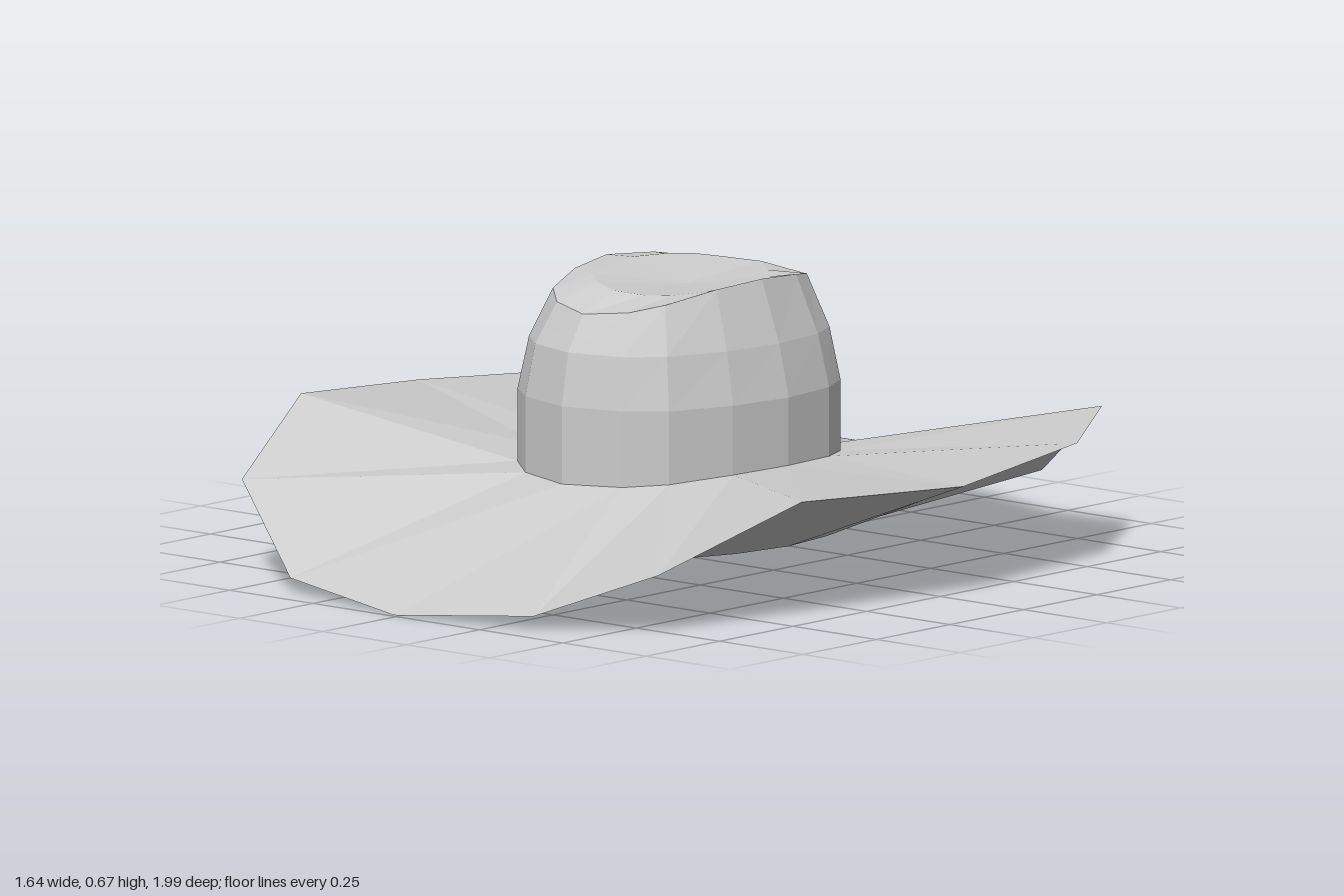
import * as THREE from 'three';

// Plan of the crown base and outer edge of the brim, from the front towards +x and round
const BASE = [
  [-0.015, 0.42], [0.13, 0.38], [0.21, 0.31], [0.27, 0.16], [0.295, 0], [0.275, -0.16], [0.23, -0.25], [0.13, -0.34],
  [-0.015, -0.445], [-0.16, -0.34], [-0.25, -0.27], [-0.3, -0.16], [-0.335, 0], [-0.3, 0.165], [-0.245, 0.31], [-0.16, 0.38],
];
const RIM = [
  [-0.015, 0, 0.99], [0.35, 0.033, 0.93], [0.61, 0.14, 0.8], [0.75, 0.28, 0.47],
  [0.82, 0.26, 0], [0.76, 0.29, -0.455], [0.565, 0.31, -0.76], [0.27, 0.11, -0.89],
  [-0.04, 0.085, -1], [-0.37, 0.11, -0.885], [-0.635, 0.28, -0.725], [-0.8, 0.27, -0.44],
  [-0.825, 0.305, -0.01], [-0.745, 0.35, 0.48], [-0.64, 0.21, 0.8], [-0.38, 0.033, 0.93],
];
const CX = -0.015;

// Scaled copy of the base ring; height is a number or a rule of (x, z)
function ring(sx, sz, height) {
  return BASE.map(([bx, bz]) => {
    const x = CX + (bx - CX) * sx, z = bz * sz;
    return [x, typeof height === 'number' ? height : height(x, z), z];
  });
}

// Skin a run of rings with flat facets
function loft(name, rings) {
  const pos = [];
  for (let r = 0; r < rings.length - 1; r++) {
    const lo = rings[r], hi = rings[r + 1];
    for (let i = 0; i < lo.length; i++) {
      const j = (i + 1) % lo.length;
      pos.push(...lo[i], ...lo[j], ...hi[j], ...lo[i], ...hi[j], ...hi[i]);
    }
  }
  const geo = new THREE.BufferGeometry();
  geo.setAttribute('position', new THREE.Float32BufferAttribute(pos, 3));
  geo.computeVertexNormals();
  const mat = new THREE.MeshStandardMaterial({ color: 0xcccccc, flatShading: true, side: THREE.DoubleSide });
  const mesh = new THREE.Mesh(geo, mat);
  mesh.name = name;
  return mesh;
}

export function createModel() {
  const hat = new THREE.Group();
  hat.name = 'hat';

  const seam = ring(1, 1, (x, z) => 0.245 - 0.13 * z * z);
  const opening = ring(1, 0.95, 0.06);

  // Wedge-section brim: underside out to the edge, then back up to the crown
  hat.add(loft('brim', [opening, RIM, seam]));

  // Crown: upright band, rounded shoulder, then a dented top
  hat.add(loft('crown', [
    seam,
    ring(1, 1, 0.4),
    ring(0.91, 0.95, 0.52),
    ring(0.74, 0.83, (x, z) => 0.662 - 0.5 * z * z),
    ring(0.5, 0.58, (x, z) => 0.65 - 0.1 * (x - CX) - 0.15 * z * z),
    ring(0, 0, 0.625),
  ]));

  // Hollow for the head
  hat.add(loft('lining', [ring(0, 0, 0.28), ring(0.62, 0.62, 0.27), opening]));

  return hat;
}
